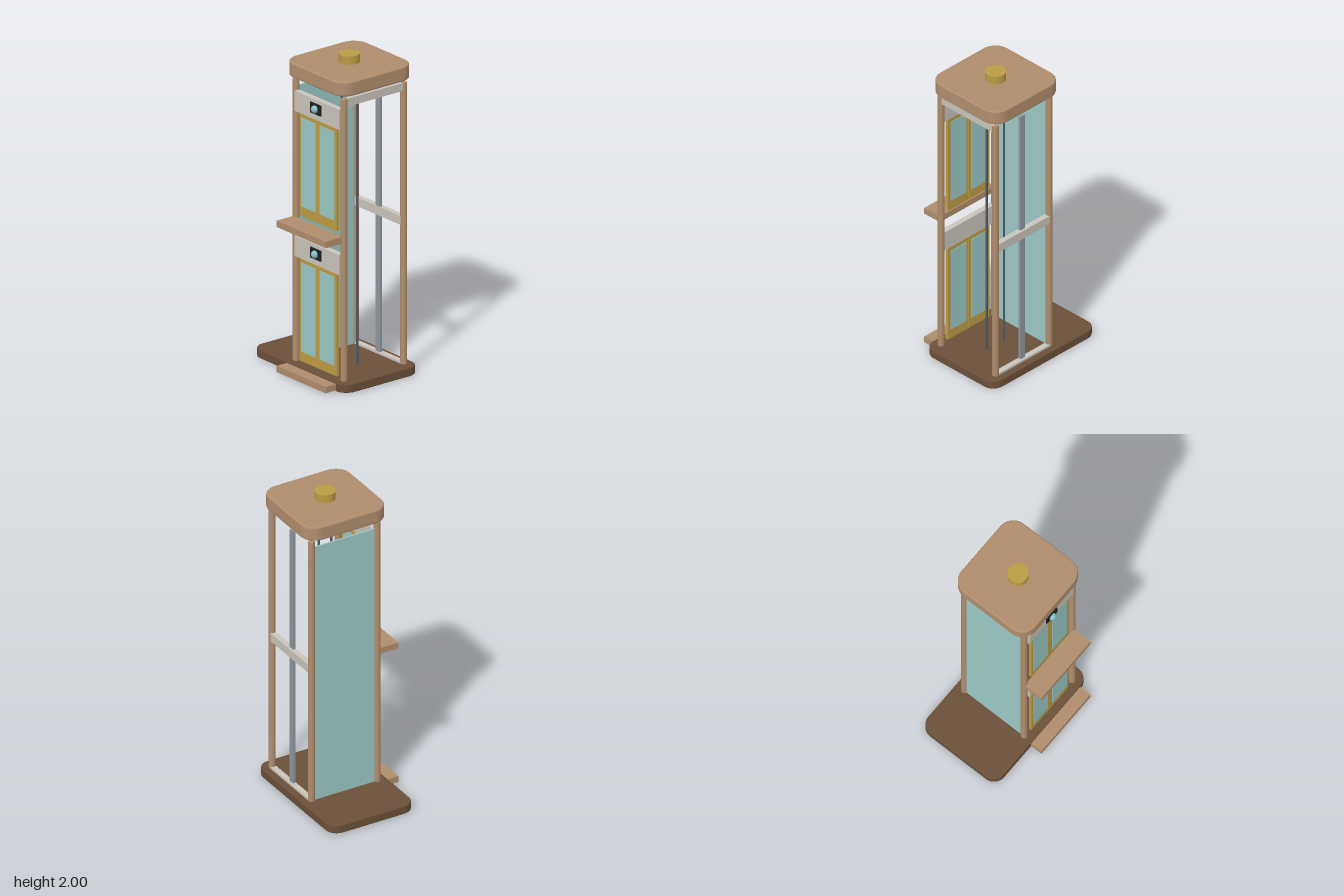
import * as THREE from 'three';

const mat = (name, hex, double) => {
  const m = new THREE.MeshStandardMaterial({ color: hex });
  m.name = name;
  if (double) m.side = THREE.DoubleSide;
  return m;
};

export function createModel() {
  const root = new THREE.Group();
  root.name = 'liftTower';

  const darkWood = mat('dark wood', 0x6b5039);
  const wood = mat('light wood', 0xb08d6d);
  const grey = mat('pale grey', 0xc9c4bb);
  const gold = mat('brass', 0xbd9c44);
  const glass = mat('teal glass', 0x9bc8c5, true);
  const cableMat = mat('cable slate', 0x4e5864);
  const steel = mat('guide steel', 0x8e979f);
  const black = mat('black', 0x1d1f21);
  const lampMat = mat('lamp blue', 0x86c3cc);

  const add = (name, geo, material, parent = root) => {
    const m = new THREE.Mesh(geo, material);
    m.name = name;
    parent.add(m);
    return m;
  };

  // Box given by its minimum and maximum on each axis
  const box = (name, material, x0, x1, y0, y1, z0, z1, parent) => {
    const m = add(name, new THREE.BoxGeometry(x1 - x0, y1 - y0, z1 - z0), material, parent);
    m.position.set((x0 + x1) / 2, (y0 + y1) / 2, (z0 + z1) / 2);
    return m;
  };

  // Upright cylinder
  const rod = (name, material, r, x, z, y0, y1, sides = 24) => {
    const m = add(name, new THREE.CylinderGeometry(r, r, y1 - y0, sides), material);
    m.position.set(x, (y0 + y1) / 2, z);
    return m;
  };

  // Horizontal slab with rounded corners and a small bevel
  const slab = (name, material, x0, x1, y0, y1, z0, z1, radius, bevel) => {
    const w = (x1 - x0) / 2 - bevel, d = (z1 - z0) / 2 - bevel, r = radius - bevel;
    const s = new THREE.Shape();
    s.moveTo(-w + r, -d);
    s.absarc(w - r, -d + r, r, -Math.PI / 2, 0);
    s.absarc(w - r, d - r, r, 0, Math.PI / 2);
    s.absarc(-w + r, d - r, r, Math.PI / 2, Math.PI);
    s.absarc(-w + r, -d + r, r, Math.PI, Math.PI * 1.5);
    const geo = new THREE.ExtrudeGeometry(s, {
      depth: y1 - y0 - 2 * bevel, bevelSize: bevel, bevelThickness: bevel,
      bevelSegments: 3, curveSegments: 10,
    });
    geo.rotateX(-Math.PI / 2);
    geo.translate((x0 + x1) / 2, y0 + bevel, (z0 + z1) / 2);
    return add(name, geo, material);
  };

  // Base and roof
  slab('base', darkWood, -0.252, 0.325, 0, 0.055, -0.435, 0.435, 0.078, 0.006);
  slab('roof', wood, -0.245, 0.317, 1.855, 1.947, -0.155, 0.405, 0.1, 0.01);

  // Crank knob on the roof and pulley below it
  const cx = 0.036, cz = 0.126;
  rod('knob', gold, 0.063, cx, cz, 1.94, 2.0, 32);
  const pulley = add('pulley', new THREE.CylinderGeometry(0.095, 0.095, 0.105, 40), gold);
  pulley.rotation.z = Math.PI / 2;
  pulley.position.set(cx, 1.85, cz);

  // Corner posts
  for (const x of [-0.19, 0.263])
    for (const z of [-0.094, 0.355]) rod('cornerPost', wood, 0.0205, x, z, 0.05, 1.83);

  // Back pane and cross rails
  box('backPane', glass, -0.185, 0.258, 0.055, 1.785, -0.099, -0.089);
  box('frontTopRail', grey, -0.185, 0.258, 1.78, 1.83, 0.343, 0.367);
  box('sideMiddleRail', grey, 0.245, 0.281, 0.93, 0.985, -0.087, 0.347);
  box('sideBottomRail', grey, 0.245, 0.281, 0.013, 0.068, -0.087, 0.347);

  // Guide rail and pair of cables
  box('guideRail', steel, 0.25, 0.266, 0.05, 1.79, 0.109, 0.149);
  for (const z of [0.055, 0.2]) rod('cable', cableMat, 0.007, cx, z, 0.05, 1.81, 12);

  // Each storey: landing, double doors, header and call lamp
  for (const [i, y] of [0, 0.915].entries()) {
    const storey = new THREE.Group();
    storey.name = i ? 'upperStorey' : 'lowerStorey';
    storey.position.y = y;
    root.add(storey);

    box('landing', wood, -0.33, -0.2, 0.006, 0.046, -0.105, 0.355, storey);
    box('header', grey, -0.216, -0.18, 0.72, 0.847, -0.077, 0.338, storey);

    // Two mirrored leaves with inset panes showing on both faces
    for (const s of [-1, 1]) {
      const span = (a, b) => (s > 0 ? [0.129 + a, 0.129 + b] : [0.129 - b, 0.129 - a]);
      box('doorLeaf', gold, -0.205, -0.185, 0.068, 0.725, ...span(0.001, 0.174), storey);
      box('doorPane', glass, -0.208, -0.182, 0.13, 0.69, ...span(0.02, 0.154), storey);
    }

    box('lampPlate', black, -0.224, -0.21, 0.758, 0.824, 0.076, 0.176, storey);
    const lamp = add('callLamp', new THREE.SphereGeometry(0.024, 20, 14), lampMat, storey);
    lamp.position.set(-0.226, 0.791, cz);
  }

  return root;
}
